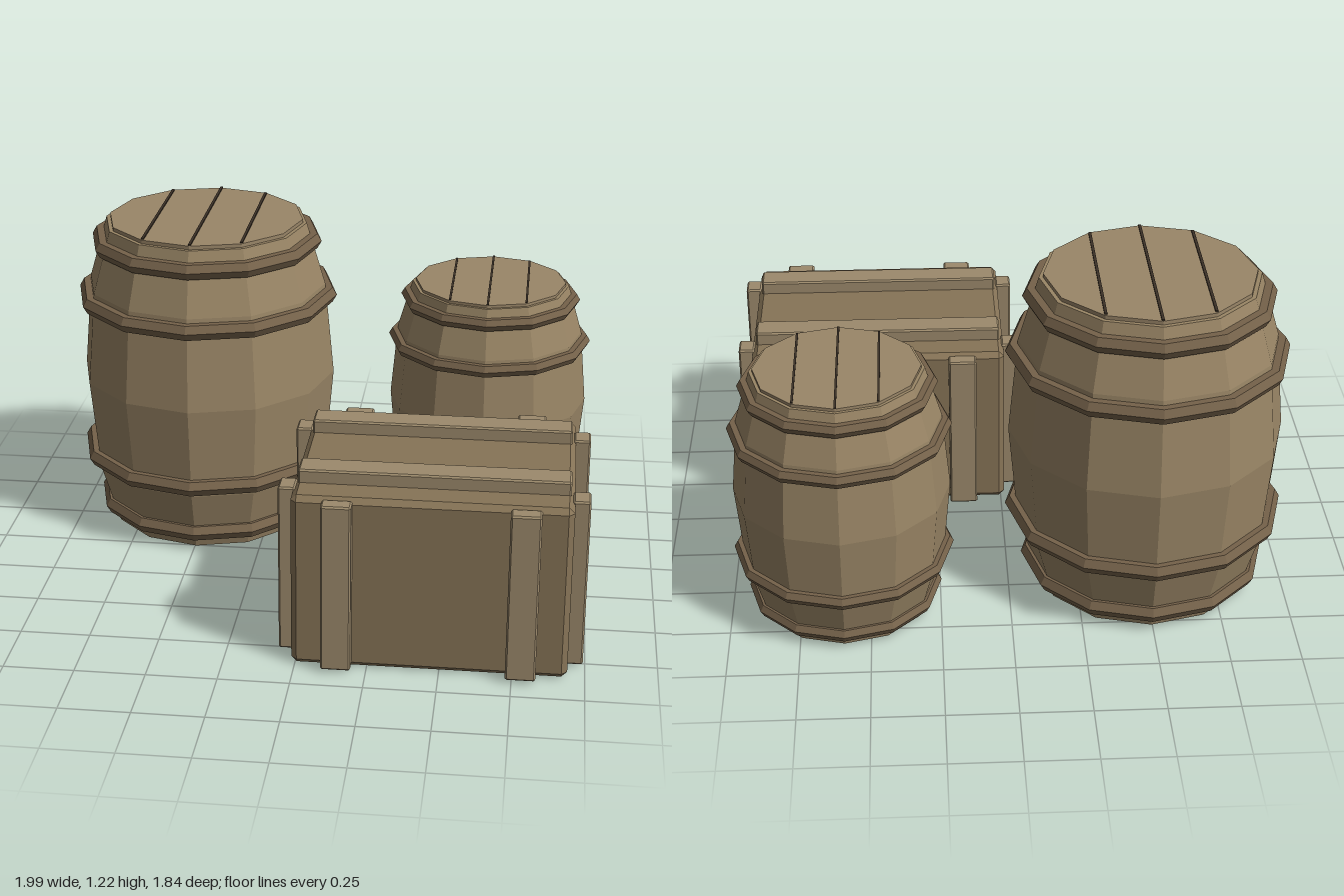
import * as THREE from 'three';
import { ConvexGeometry } from 'three/addons/geometries/ConvexGeometry.js';

const material = (color) => new THREE.MeshStandardMaterial({ color, flatShading: true });

function addMesh(parent, name, geometry, mat) {
  const mesh = new THREE.Mesh(geometry, mat);
  mesh.name = name;
  parent.add(mesh);
  return mesh;
}

// Box with every edge chamfered by c
function chamferBox(w, h, d, c) {
  const points = [];
  for (const x of [-w / 2, w / 2])
    for (const y of [-h / 2, h / 2])
      for (const z of [-d / 2, d / 2]) {
        const cx = Math.sign(x) * c, cy = Math.sign(y) * c, cz = Math.sign(z) * c;
        points.push(
          new THREE.Vector3(x, y - cy, z - cz),
          new THREE.Vector3(x - cx, y, z - cz),
          new THREE.Vector3(x - cx, y - cy, z)
        );
      }
  return new ConvexGeometry(points);
}

function createBarrel(mats) {
  const barrel = new THREE.Group();
  const sides = 12, height = 1.2;

  // Bulging staves, closed at both ends
  const profile = [[0, 0], [0.388, 0], [0.459, 0.24], [0.492, 0.6], [0.459, 0.96], [0.388, height], [0, height]];
  const points = profile.map(([r, y]) => new THREE.Vector2(r, y));
  addMesh(barrel, 'staves', new THREE.LatheGeometry(points, sides), mats.stave);

  // Lid disc with dark seams between its boards
  const lid = addMesh(barrel, 'lid', new THREE.CylinderGeometry(0.373, 0.373, 0.02, sides), mats.lid);
  lid.position.y = height + 0.004;
  for (const [x, length] of [[-0.185, 0.63], [0, 0.74], [0.185, 0.63]]) {
    const seam = addMesh(barrel, 'lidSeam', new THREE.BoxGeometry(0.01, 0.012, length), mats.seam);
    seam.position.set(x, height + 0.013, 0);
  }

  // Hoops, mirrored about the middle of the barrel
  for (const [radius, y] of [[0.412, 0.07], [0.471, 0.285]])
    for (const hoopY of [y, height - y]) {
      const geometry = new THREE.TorusGeometry(radius, 0.033, 6, sides).rotateX(Math.PI / 2);
      addMesh(barrel, 'hoop', geometry, mats.hoop).position.y = hoopY;
    }
  return barrel;
}

function createCrate(mats) {
  const crate = new THREE.Group();
  const w = 0.953, h = 0.64, d = 0.767;

  addMesh(crate, 'crateBody', chamferBox(w, h, d, 0.02), mats.crate).position.y = h / 2;

  const batten = (name, size, position) =>
    addMesh(crate, name, chamferBox(...size, 0.006), mats.batten).position.set(...position);

  for (const s of [-1, 1]) {
    for (const t of [-1, 1]) {
      // Upright battens on the front and back, then on both ends
      batten('uprightBatten', [0.104, 0.62, 0.06], [s * 0.317, 0.322, t * (d / 2 + 0.02)]);
      batten('endBatten', [0.06, 0.62, 0.086], [t * (w / 2 + 0.023), 0.322, s * 0.255]);
    }
    // Battens across the top
    batten('topBatten', [0.926, 0.055, 0.104], [0, 0.66, s * 0.215]);
  }
  return crate;
}

export function createModel() {
  const mats = {
    stave: material(0x9a8666),
    lid: material(0x9a8668),
    seam: material(0x3a3026),
    hoop: material(0x75624a),
    crate: material(0x877457),
    batten: material(0x9c8a6c),
  };
  const model = new THREE.Group();
  model.name = 'barrelsAndCrate';

  const largeBarrel = createBarrel(mats);
  largeBarrel.name = 'largeBarrel';
  largeBarrel.position.set(-0.496, 0, -0.384);

  const smallBarrel = createBarrel(mats);
  smallBarrel.name = 'smallBarrel';
  smallBarrel.scale.setScalar(0.78);
  smallBarrel.position.set(0.593, 0, -0.529);

  const crate = createCrate(mats);
  crate.name = 'crate';
  crate.position.set(0.463, 0, 0.483);

  model.add(largeBarrel, smallBarrel, crate);
  return model;
}
